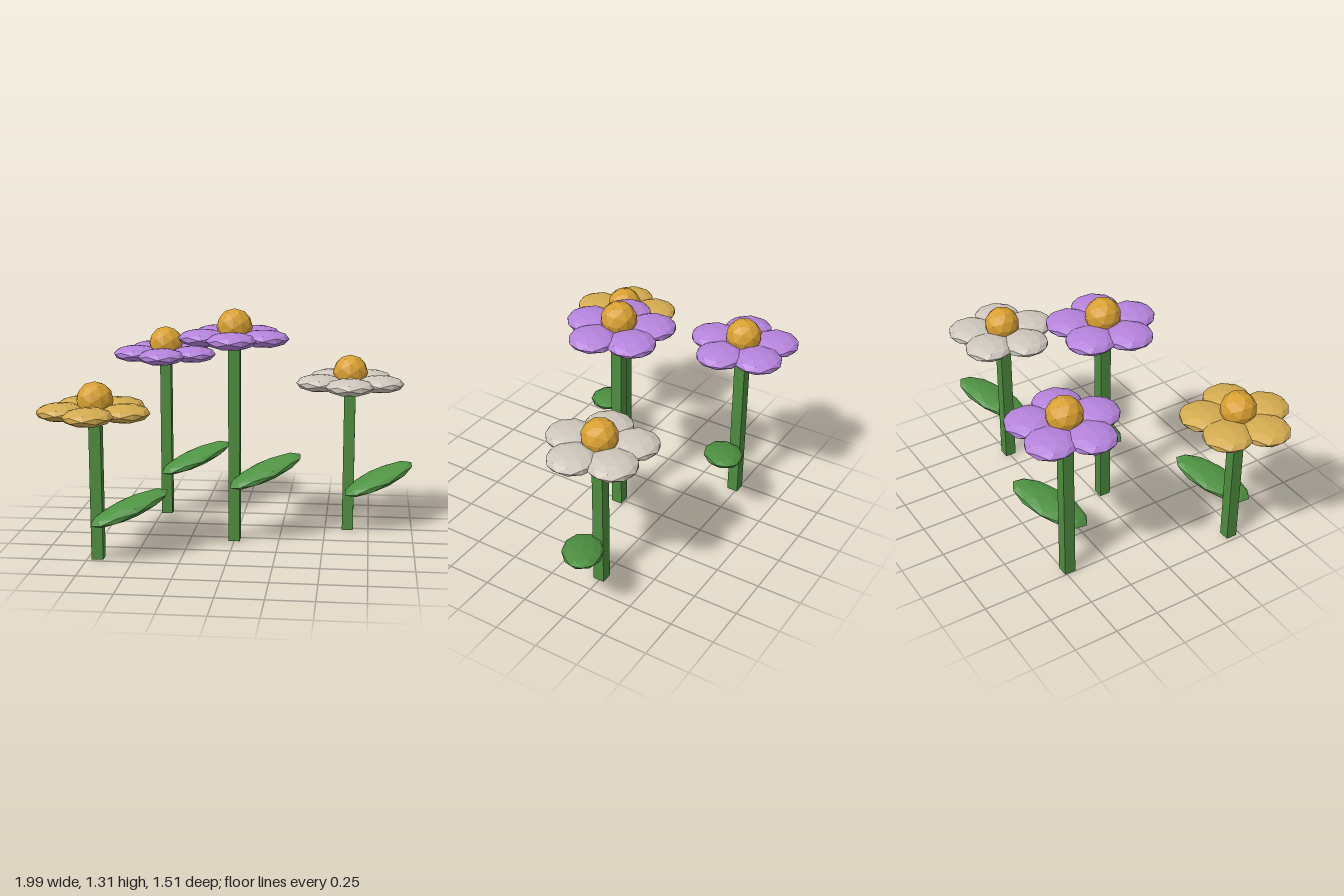
import * as THREE from 'three';

const mat = (name, color) => {
  const m = new THREE.MeshStandardMaterial({ color, flatShading: true });
  m.name = name;
  return m;
};

export function createModel() {
  const green = mat('stem green', 0x4e8c3f);
  const leafGreen = mat('leaf green', 0x4f9343);
  const gold = mat('centre gold', 0xd9a032);
  const purple = mat('petal purple', 0xb583dc);
  const cream = mat('petal cream', 0xcfc7bd);
  const yellow = mat('petal yellow', 0xd4ab50);

  // Low-poly ball, squashed by scale for petals and leaves
  const ball = new THREE.IcosahedronGeometry(1, 1);
  const blob = (name, material, position, scale) => {
    const mesh = new THREE.Mesh(ball, material);
    mesh.name = name;
    mesh.position.set(...position);
    mesh.scale.set(...scale);
    return mesh;
  };

  function createFlower(name, x, z, height, petalMaterial) {
    const flower = new THREE.Group();
    flower.name = name;
    flower.position.set(x, 0, z);

    // Square stem
    const stem = new THREE.Mesh(new THREE.BoxGeometry(0.064, height, 0.064), green);
    stem.name = 'stem';
    stem.position.y = height / 2;
    flower.add(stem);

    // Leaf rising to the left and back
    const leaf = blob('leaf', leafGreen, [0.174, height * 0.35, 0], [0.235, 0.042, 0.112]);
    leaf.rotation.set(0, 0.57, 0.32);
    flower.add(leaf);

    // Ring of five petals, one pointing to the front
    for (let i = 0; i < 5; i++) {
      const a = (i * Math.PI * 2) / 5;
      flower.add(blob('petal', petalMaterial,
        [Math.sin(a) * 0.177, height, Math.cos(a) * 0.177], [0.136, 0.048, 0.136]));
    }

    // Domed centre
    flower.add(blob('flowerCentre', gold, [0, height + 0.056, 0], [0.1, 0.1, 0.1]));
    return flower;
  }

  const model = new THREE.Group();
  model.name = 'flowers';
  model.add(
    createFlower('tallPurpleFlower', 0, 0.04, 1.155, purple),
    createFlower('backPurpleFlower', -0.465, -0.478, 0.983, purple),
    createFlower('creamFlower', 0.63, -0.245, 0.867, cream),
    createFlower('yellowFlower', -0.695, 0.443, 0.81, yellow),
  );
  return model;
}
